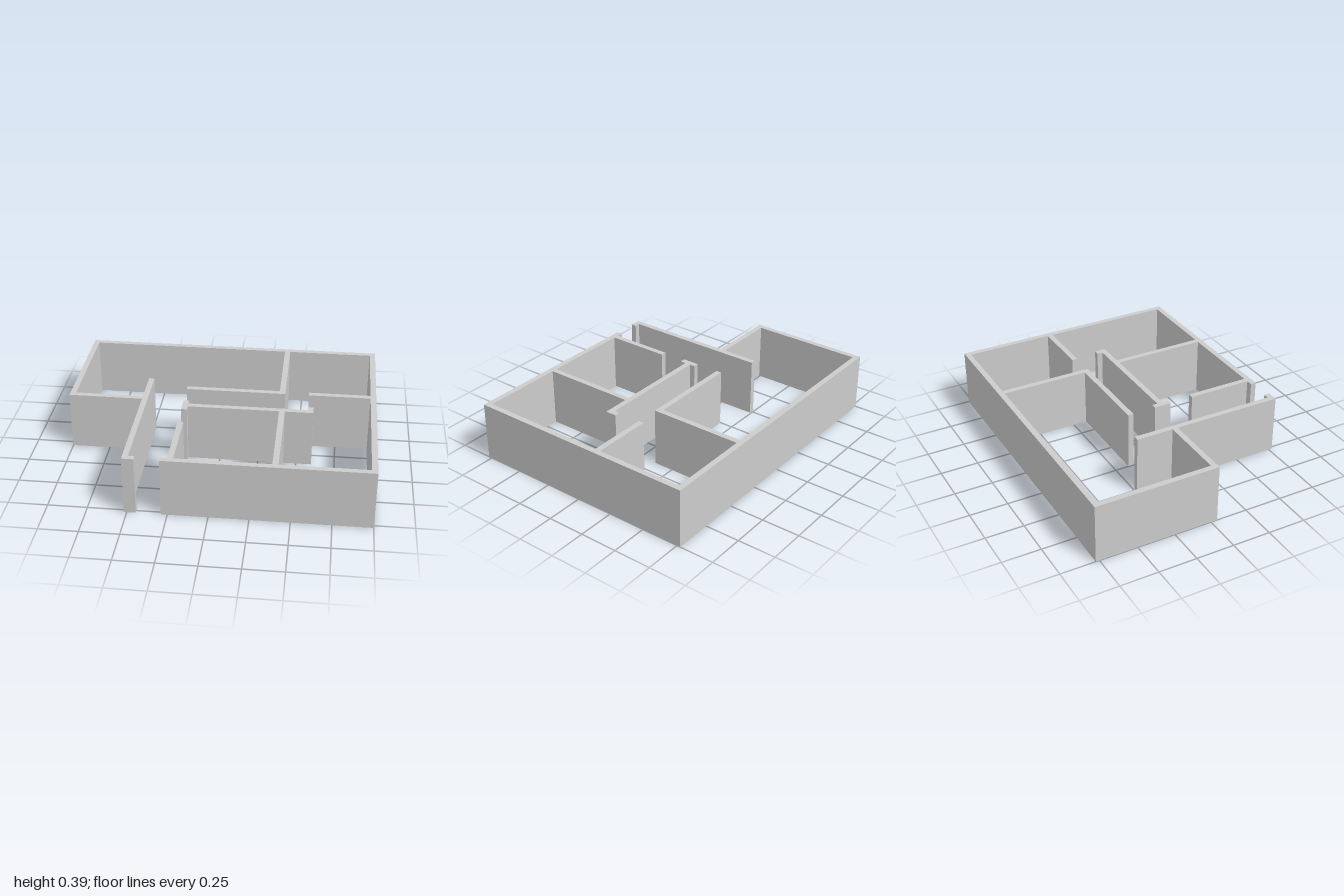
import * as THREE from 'three';

const H = 0.387;  // wall height
const T = 0.037;  // wall thickness
const D = 0.773;  // half depth of the plan

export function createModel() {
  const group = new THREE.Group();
  group.name = 'floorPlanWalls';
  const material = new THREE.MeshStandardMaterial({ color: 0xcccccc, flatShading: true });

  // A wall filling the plan rectangle x0..x1, z0..z1
  const wall = (name, x0, x1, z0, z1) => {
    const mesh = new THREE.Mesh(new THREE.BoxGeometry(x1 - x0, H, z1 - z0), material);
    mesh.position.set((x0 + x1) / 2, H / 2, (z0 + z1) / 2);
    mesh.name = name;
    group.add(mesh);
  };
  // Walls running along x (back face at z) or along z (low-x face at x); ends butt, never overlap
  const alongX = (name, z, x0, x1) => wall(name, x0, x1, z, z + T);
  const alongZ = (name, x, z0, z1) => wall(name, x, x + T, z0, z1);

  // Outer shell
  alongX('backWall', -D, -1, 1);
  alongZ('leftSideWall', 1 - T, -D + T, D - T);
  alongX('frontWall', D - T, -0.289, 1);
  alongZ('rightSideWall', -1, -D + T, 0.006);
  alongX('rightRoomFrontWall', 0.006, -1, -0.518);

  // Entrance hall
  alongZ('hallWall', -0.518, -0.241, D);
  alongX('entranceJamb', D - T, -0.518 + T, -0.444);

  // Back rooms
  alongZ('backPartition', 0.369, -D + T, -0.157);
  alongX('backRoomFrontWall', -0.157, -0.246, 0.369 + T);
  alongX('backCornerRoomWall', -0.157, 0.562, 1 - T);

  // Front rooms
  alongX('corridorWall', 0.073, -0.246 + T, 0.599);
  alongZ('corridorDoorJamb', 0.562, 0.036, 0.073);
  alongZ('hallDoorJamb', -0.246, 0.036, 0.15);
  alongZ('frontPartition', 0.38, 0.073 + T, D - T);
  alongZ('frontRoomHallWall', -0.246, 0.31, D - T);

  return group;
}
